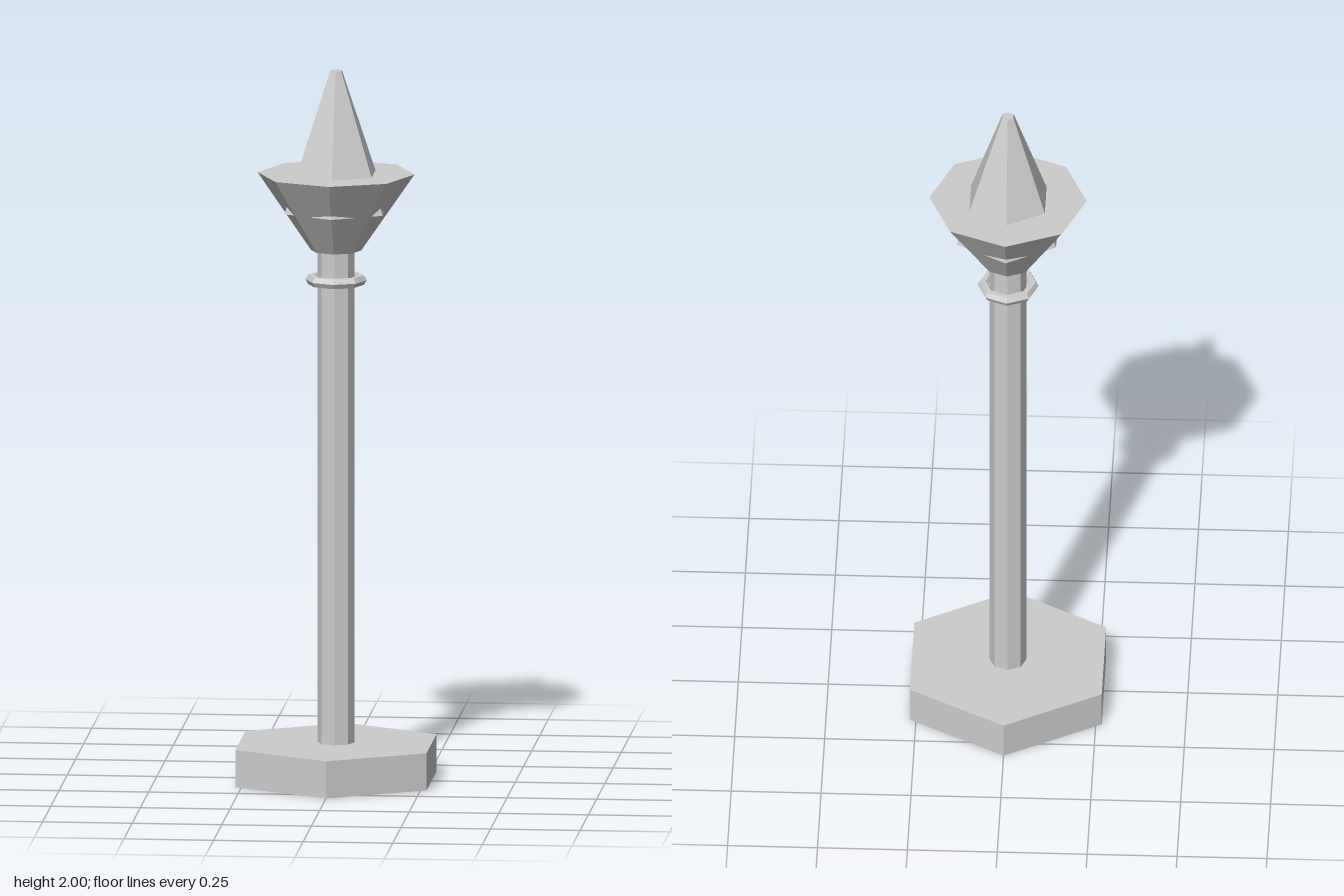
import * as THREE from 'three';

export function createModel() {
  const group = new THREE.Group();
  group.name = 'lampPost';
  const material = new THREE.MeshStandardMaterial({ color: 0xcccccc, flatShading: true });

  const add = (name, geometry, y) => {
    const mesh = new THREE.Mesh(geometry, material);
    mesh.name = name;
    mesh.position.y = y;
    group.add(mesh);
    return mesh;
  };

  // Faceted, capped column section between two heights
  const section = (name, rBottom, rTop, y0, y1, sides) =>
    add(name, new THREE.CylinderGeometry(rTop, rBottom, y1 - y0, sides), (y0 + y1) / 2);

  section('base', 0.308, 0.308, 0, 0.105, 6);
  section('pole', 0.052, 0.052, 0.105, 1.495, 8);
  section('lampCup', 0.07, 0.219, 1.493, 1.71, 8);

  // Six-sided spire starts inside the cup, so its lower corners poke through the sides
  section('spire', 0.158, 0.018, 1.606, 2, 6);

  // Collar ring below the cup
  const ring = new THREE.TorusGeometry(0.07, 0.0155, 6, 8);
  ring.rotateX(Math.PI / 2);
  add('collarRing', ring, 1.41);

  return group;
}
